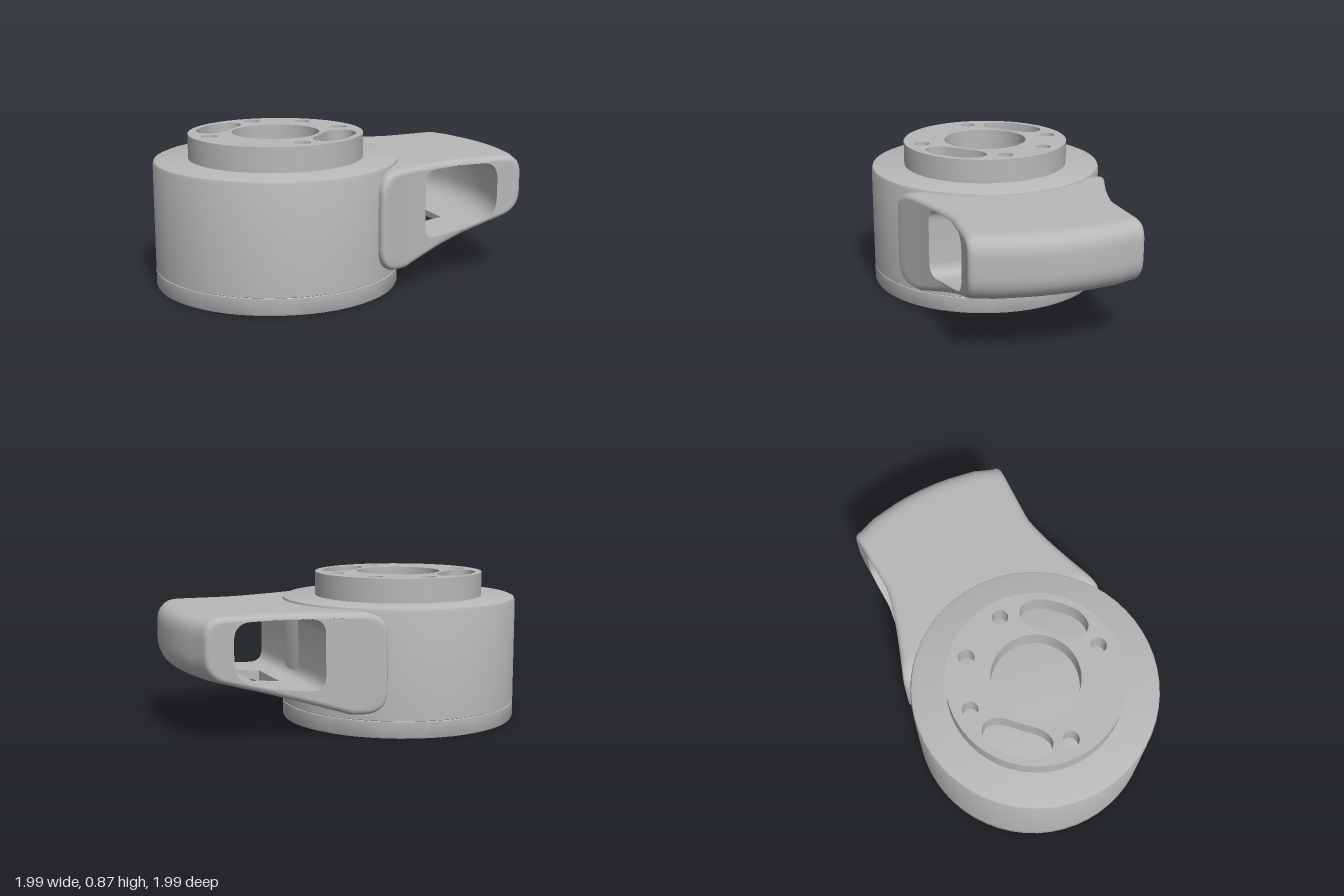
import * as THREE from 'three';
import { toCreasedNormals } from 'three/addons/utils/BufferGeometryUtils.js';

const grey = new THREE.MeshStandardMaterial({ color: 0xb8b8b8 });
grey.name = 'plain grey';

function part(name, geometry, crease = 0.6) {
  const mesh = new THREE.Mesh(toCreasedNormals(geometry, crease), grey);
  mesh.name = name;
  return mesh;
}

// Round the corners of a polygon and divide its edges. Corner: [u, y, radius, divisions of next edge]
function roundedLoop(corners) {
  const n = corners.length;
  const toward = (a, b, d) => {
    const l = Math.hypot(b[0] - a[0], b[1] - a[1]);
    return [a[0] + (b[0] - a[0]) * d / l, a[1] + (b[1] - a[1]) * d / l];
  };
  const arcs = corners.map((c, i) => {
    if (!c[2]) return [[c[0], c[1]]];
    const a = toward(c, corners[(i + n - 1) % n], c[2]);
    const b = toward(c, corners[(i + 1) % n], c[2]);
    return Array.from({ length: 8 }, (_, k) => {
      const t = k / 7, s = 1 - t;
      return [0, 1].map((d) => s * s * a[d] + 2 * s * t * c[d] + t * t * b[d]);
    });
  });
  const points = [], starts = [];
  arcs.forEach((arc, i) => {
    starts.push(points.length);
    points.push(...arc);
    const a = arc[arc.length - 1], b = arcs[(i + 1) % n][0], m = corners[i][3];
    for (let k = 1; k < m; k++) points.push([0, 1].map((d) => a[d] + (b[d] - a[d]) * k / m));
  });
  return { points, starts };
}

// Hollow arm: u runs outward from the body, v runs across
function armGeometry() {
  const outer = roundedLoop([
    [0.36, 0.14, 0.14, 3], [0.55, 0.14, 0, 5], [0.83, 0.223, 0, 1], [0.98, 0.267, 0, 4],
    [1.36, 0.38, 0.12, 2], [1.36, 0.71, 0.11, 14], [0.36, 0.71, 0.14, 2]]);
  const inner = roundedLoop([
    [0.69, 0.28, 0.08, 3], [0.79, 0.284, 0, 5], [0.83, 0.286, 0, 1], [0.98, 0.302, 0, 4],
    [1.195, 0.36, 0.11, 2], [1.195, 0.677, 0.1, 14], [0.69, 0.677, 0.08, 2]]);
  const N = outer.points.length, W = outer.starts[2];
  const halfWidth = (u) => u < 0.95
    ? 0.468 + 0.18 * Math.pow((0.95 - u) / 0.59, 1.3)
    : 0.468 + 0.017 * (u - 0.95) / 0.4;

  // Stations around the wall: outer skin with rounded rims, side faces (t from 0 to 1), opening
  const mids = [-0.7, -0.37, -0.2, 0, 0.2, 0.37, 0.7];
  const skin = (f, t) => ({ f, t, inset: 0, back: 0 });
  const rim = [0, 0.25, 0.5, 0.75, 1].map((k) => {
    const a = k * Math.PI / 2;
    return { t: 0, inset: 0.03 * (1 - Math.cos(a)), back: 0.045 * (1 - Math.sin(a)) };
  });
  const side = [1, 2, 3, 4, 5].map((k) => ({ t: k / 6, inset: 0.03, back: 0 }));
  const face = (list, f) => list.map((s) => ({ f, ...s }));
  const stations = [
    ...face(rim, -1).reverse(), ...mids.map((f) => skin(f, 0)), ...face(rim, 1),
    ...face(side, 1), skin(1, 1), ...mids.map((f) => skin(-f, 1)), skin(-1, 1),
    ...face(side, -1).reverse(),
  ];

  const place = (i, s) => {
    const p = outer.points[i], q = inner.points[i];
    const a = outer.points[(i + N - 1) % N], b = outer.points[(i + 1) % N];
    const tx = b[0] - a[0], ty = b[1] - a[1], l = Math.hypot(tx, ty);
    const u0 = THREE.MathUtils.lerp(p[0] - ty / l * s.inset, q[0], s.t);
    const y = THREE.MathUtils.lerp(p[1] + tx / l * s.inset, q[1], s.t);
    const v = s.f * halfWidth(u0) - Math.sign(s.f) * s.back;
    // Bowed outer end
    const u = u0 + 0.08 * (1 - s.f * s.f) * THREE.MathUtils.smoothstep(u0, 0.8, 1.35);
    return [-0.3 + (u + v) * Math.SQRT1_2, y, 0.3 + (v - u) * Math.SQRT1_2];
  };
  const M = stations.length, pos = [], idx = [];
  stations.forEach((s) => { for (let i = 0; i < N; i++) pos.push(...place(i, s)); });
  const id = (i, j) => (j % M) * N + (i % N);
  const quad = (a, b, c, d) => idx.push(a, b, c, a, c, d);
  const inWindow = (j) => Math.abs(stations[j % M].f) < 0.4;
  for (let j = 0; j < M; j++) for (let i = 0; i < N; i++) {
    if (i === W && inWindow(j) && inWindow(j + 1)) continue;
    quad(id(i, j), id(i + 1, j), id(i + 1, j + 1), id(i, j + 1));
  }

  // Walls of the window in the floor
  const lo = rim.length + 1, hi = lo + 4;
  const lastInside = M - side.length - 2;
  const I = (i, j) => id(i, lastInside - (j - rim.length));
  for (let j = lo; j < hi; j++) {
    quad(id(W, j), I(W, j), I(W, j + 1), id(W, j + 1));
    quad(id(W + 1, j), id(W + 1, j + 1), I(W + 1, j + 1), I(W + 1, j));
  }
  quad(id(W, lo), id(W + 1, lo), I(W + 1, lo), I(W, lo));
  quad(id(W, hi), I(W, hi), I(W + 1, hi), id(W + 1, hi));

  const g = new THREE.BufferGeometry();
  g.setAttribute('position', new THREE.Float32BufferAttribute(pos, 3));
  g.setIndex(idx);
  return g;
}

// Raised ring with a centre bore, two curved pockets and five screw holes
function ringGeometry() {
  const shape = new THREE.Shape().absarc(0, 0, 0.5, 0, Math.PI * 2);
  const hole = (x, y, r) => shape.holes.push(new THREE.Path().absarc(x, y, r, 0, Math.PI * 2, true));
  hole(0, 0, 0.25);
  [[-0.28, 0.29], [0.28, 0.29], [-0.28, -0.28], [0.28, -0.28], [0, 0.4]].forEach(([x, y]) => hole(x, y, 0.045));
  for (const side of [-1, 1]) {
    const pocket = [[0.275, 0], [0.28, 0.13], [0.32, 0.19], [0.39, 0.19], [0.445, 0.12],
      [0.46, 0], [0.445, -0.12], [0.39, -0.19], [0.32, -0.19], [0.28, -0.13]];
    const curve = new THREE.CatmullRomCurve3(pocket.map(([x, y]) => new THREE.Vector3(side * x, y, 0)), true);
    shape.holes.push(new THREE.Path(curve.getPoints(30).slice(0, -1).map((p) => new THREE.Vector2(p.x, p.y))));
  }
  return new THREE.ExtrudeGeometry(shape, { depth: 0.145, bevelEnabled: false, curveSegments: 24 })
    .rotateX(-Math.PI / 2);
}

export function createModel() {
  const model = new THREE.Group();
  model.name = 'motorHousing';

  // Round body with a fine seam near its base
  const profile = [[0, 0], [0.695, 0], [0.7, 0.01], [0.7, 0.094], [0.696, 0.097], [0.7, 0.1],
    [0.7, 0.705], [0.694, 0.722], [0.675, 0.73], [0, 0.73]];
  const body = part('body', new THREE.LatheGeometry(profile.map(([x, y]) => new THREE.Vector2(x, y)), 56));
  body.position.set(-0.3, 0, 0.3);

  const ring = part('topRing', ringGeometry());
  ring.position.set(-0.3, 0.725, 0.3);

  model.add(body, ring, part('arm', armGeometry(), 0.7));
  return model;
}
